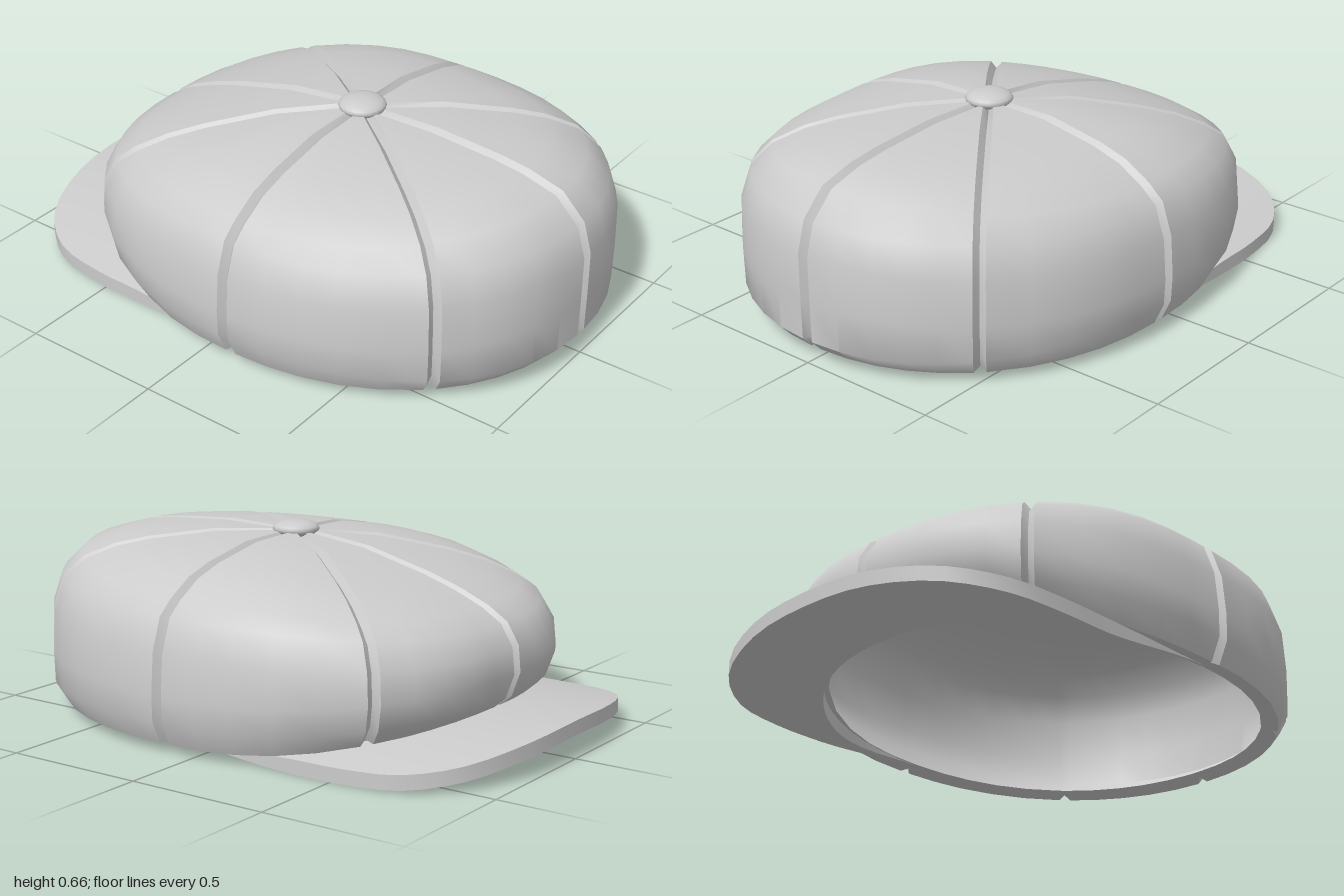
import * as THREE from 'three';
import { toCreasedNormals } from 'three/addons/utils/BufferGeometryUtils.js';

const CZ = 0.11;             // z of the crown centre
const AX = 0.757, BZ = 0.89; // half width and half length of the crown

// Crown profiles from button to rim: [fraction of full radius, height]
const curve = (pts) => new THREE.CatmullRomCurve3(pts.map(([f, y]) => new THREE.Vector3(f, y, 0)));
const heel = curve([[0.07, 0.63], [0.33, 0.636], [0.6, 0.62], [0.73, 0.605], [0.87, 0.57],
  [0.965, 0.485], [1, 0.38], [1, 0.22], [0.997, 0.08], [0.955, 0.04]]);
const flank = curve([[0.07, 0.63], [0.33, 0.626], [0.6, 0.588], [0.74, 0.555], [0.86, 0.5],
  [0.935, 0.45], [0.985, 0.34], [1, 0.2], [0.996, 0.11], [0.95, 0.032]]);
const brow = curve([[0.07, 0.63], [0.33, 0.602], [0.6, 0.542], [0.74, 0.502], [0.86, 0.457],
  [0.94, 0.412], [0.99, 0.34], [1, 0.25], [0.965, 0.165], [0.9, 0.115]]);

// Rounded oval outline: radius at an angle, and how far it belongs to the flank
function outline(a) {
  const back = Math.cos(a) > 0;
  const n = back ? 2.12 : 2.5;
  const p = Math.abs(Math.sin(a) / AX) ** n, q = Math.abs(Math.cos(a) / BZ) ** n;
  return { radius: (p + q) ** (-1 / n), side: (p / (p + q)) ** (back ? 1 : 1.4) };
}

// Radius and height on the crown, pushed in along the profile normal
function profile(a, t, inset) {
  const { radius, side } = outline(a);
  const end = Math.cos(a) > 0 ? heel : brow;
  const at = (s) => {
    const v = end.getPoint(s).lerp(flank.getPoint(s), side);
    return new THREE.Vector2(v.x * radius, v.y);
  };
  const p = at(t);
  const d = at(Math.min(1, t + 0.01)).sub(at(Math.max(0, t - 0.01))).normalize();
  return new THREE.Vector2(p.x + d.y * inset, p.y - d.x * inset);
}

// Skin a grid of points (rows of equal length)
function skin(rows, wrapColumns, wrapRows) {
  const w = rows[0].length, h = rows.length, index = [];
  for (let j = 0; j < (wrapRows ? h : h - 1); j++) {
    for (let i = 0; i < (wrapColumns ? w : w - 1); i++) {
      const i2 = (i + 1) % w, j2 = (j + 1) % h;
      const a = j * w + i, b = j * w + i2, c = j2 * w + i, d = j2 * w + i2;
      index.push(a, c, d, a, d, b);
    }
  }
  const g = new THREE.BufferGeometry();
  g.setAttribute('position', new THREE.Float32BufferAttribute(rows.flat().flatMap((v) => v.toArray()), 3));
  g.setIndex(index);
  return toCreasedNormals(g, 0.72);
}

// Eight-panel crown with grooved seams, and a smooth lining that narrows to the opening
function crownGeometry() {
  const seams = [0, 38.2, 90, 142, 180, 218, 270, 321.8, 360].map(THREE.MathUtils.degToRad);
  const ROWS = 9, COLS = 5, GROOVE = 0.02, DEPTH = 0.024, WALL = 0.03;
  const ring = (t, inner, collapse) => {
    const row = [];
    const narrowing = inner ? 0.035 * THREE.MathUtils.smoothstep(t, 0.7, 1) : 0;
    const add = (a, inset) => {
      const p = profile(a, t, inset);
      const r = collapse ? 0 : p.x - narrowing;
      const y = collapse ? 0.63 - inset : p.y;
      row.push(new THREE.Vector3(Math.sin(a) * r, y, CZ + Math.cos(a) * r));
    };
    for (let s = 0; s < 8; s++) {
      const a0 = seams[s], a1 = seams[s + 1];
      // seams keep a constant width, so their angle narrows outward
      const w0 = Math.min(0.3, GROOVE / profile(a0, t, 0).x);
      const w1 = Math.min(0.3, GROOVE / profile(a1, t, 0).x);
      add(a0, inner ? WALL : DEPTH);
      for (let i = 0; i <= COLS; i++) {
        add(THREE.MathUtils.lerp(a0 + w0, a1 - w1, i / COLS), inner ? WALL : 0);
      }
    }
    return row;
  };
  const rows = [ring(0, false, true)];
  for (let j = 0; j <= ROWS; j++) rows.push(ring(j / ROWS, false, false));
  for (let j = ROWS; j >= 0; j--) rows.push(ring(j / ROWS, true, false));
  rows.push(ring(0, true, true));
  return skin(rows, true, false);
}

// Arched brim between the crown opening and its own outline
function brimGeometry() {
  const half = [[0.675, 0.11], [0.67, -0.1], [0.66, -0.35], [0.655, -0.55], [0.62, -0.74],
    [0.5, -0.89], [0.27, -0.98]];
  const edge = new THREE.CatmullRomCurve3([...half, [0, -1], ...half.map(([x, z]) => [-x, z]).reverse()]
    .map(([x, z]) => new THREE.Vector3(x, 0, z)));
  const STEPS = 42, ACROSS = 4;
  const rows = Array.from({ length: 2 * (ACROSS + 1) }, () => []);
  for (let i = 0; i <= STEPS; i++) {
    const o = edge.getPoint(i / STEPS);
    const a = Math.atan2(o.x, o.z - CZ);
    const r = outline(a).radius * 0.87;
    const inner = new THREE.Vector3(Math.sin(a) * r, 0, CZ + Math.cos(a) * r);
    for (let k = 0; k <= ACROSS; k++) {
      const p = inner.clone().lerp(o, k / ACROSS);
      const lift = THREE.MathUtils.smoothstep(p.z, -0.4, 0.11);
      const y = 0.08 - 0.18 * p.x * p.x + 0.04 * lift;
      rows[k].push(new THREE.Vector3(p.x, y + 0.05 * (1 - lift), p.z));
      rows[2 * ACROSS + 1 - k].push(new THREE.Vector3(p.x, y, p.z));
    }
  }
  return skin(rows, false, true);
}

export function createModel() {
  const group = new THREE.Group();
  group.name = 'flatCap';
  const fabric = new THREE.MeshStandardMaterial({ color: 0xcccccc, side: THREE.DoubleSide });
  const add = (name, geometry) => {
    const mesh = new THREE.Mesh(geometry, fabric);
    mesh.name = name;
    group.add(mesh);
    return mesh;
  };

  add('crown', crownGeometry());
  add('brim', brimGeometry());

  // Covered button on top
  const button = add('button', new THREE.SphereGeometry(0.082, 20, 10));
  button.scale.y = 0.37;
  button.position.set(0, 0.635, CZ);

  return group;
}
